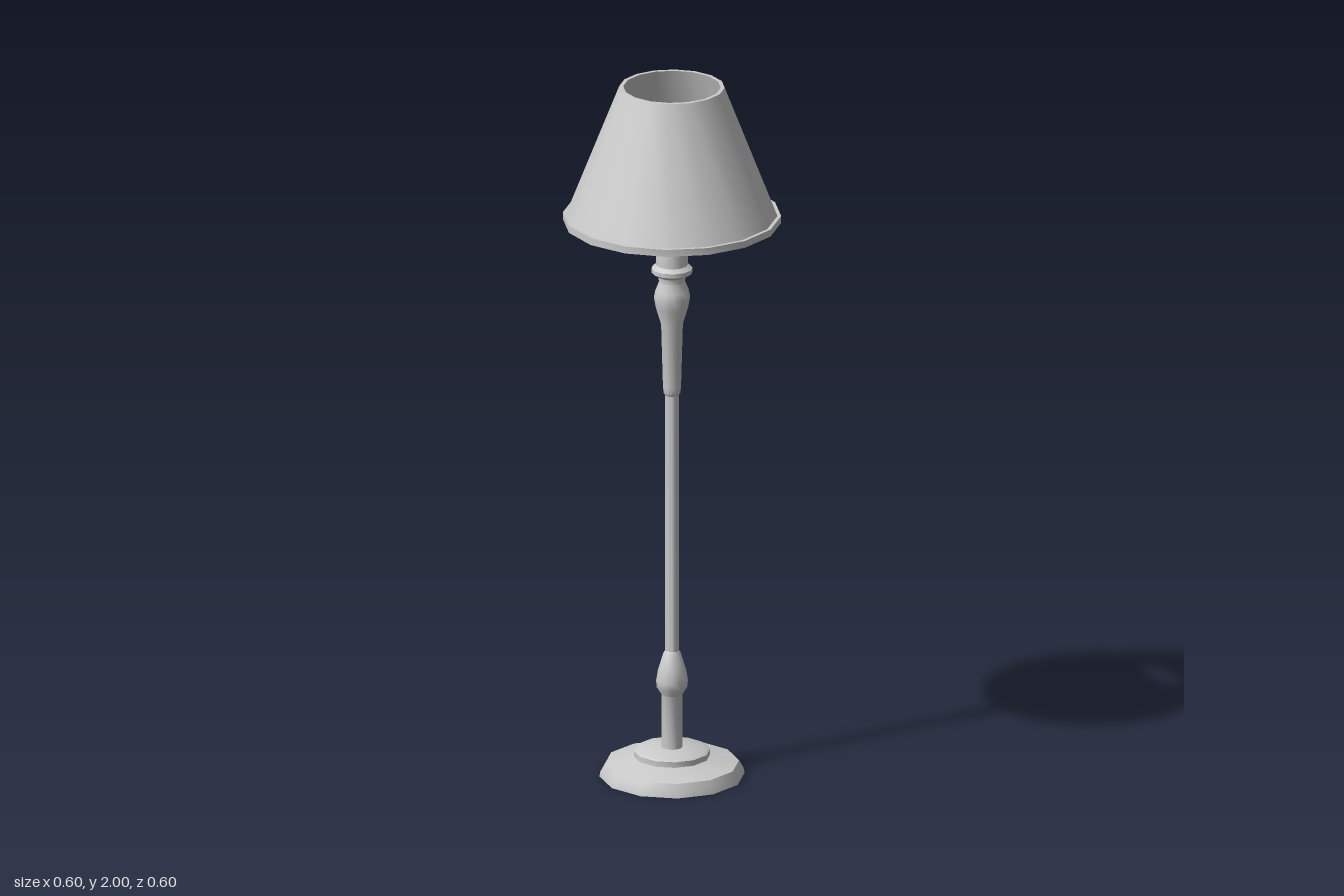
import * as THREE from 'three';
import { toCreasedNormals } from 'three/addons/utils/BufferGeometryUtils.js';

const material = new THREE.MeshStandardMaterial({ color: 0xcccccc, side: THREE.DoubleSide });

// Turned part from [radius, height] pairs, listed from bottom to top on the outside
function turned(name, profile, sides, crease = 0.7) {
  const points = profile.map(([r, y]) => new THREE.Vector2(r, y));
  const geometry = toCreasedNormals(new THREE.LatheGeometry(points, sides), crease);
  const mesh = new THREE.Mesh(geometry, material);
  mesh.name = name;
  return mesh;
}

export function createModel() {
  const lamp = new THREE.Group();
  lamp.name = 'floorLamp';

  // Hollow stepped foot, open underneath
  lamp.add(turned('base', [
    [0.2, 0], [0.197, 0.015], [0.185, 0.037], [0.105, 0.056],
    [0.105, 0.072], [0.098, 0.077], [0.029, 0.082],
  ], 12));

  // Lower turned column with its bulge
  lamp.add(turned('lowerColumn', [
    [0.029, 0.08], [0.029, 0.235], [0.042, 0.255], [0.044, 0.275],
    [0.039, 0.305], [0.024, 0.355], [0.019, 0.362],
  ], 12));

  // Slim pole
  lamp.add(turned('pole', [[0.019, 0.36], [0.019, 1.11]], 12));

  // Upper turned column: tapered sleeve, vase and flared collar
  lamp.add(turned('upperColumn', [
    [0.019, 1.105], [0.023, 1.11], [0.025, 1.13], [0.03, 1.31], [0.045, 1.36],
    [0.05, 1.39], [0.046, 1.41], [0.036, 1.435], [0.038, 1.45], [0.057, 1.462],
    [0.057, 1.474], [0.044, 1.484], [0.044, 1.505], [0.038, 1.545], [0, 1.546],
  ], 12));

  // Socket below the bulb
  lamp.add(turned('socket', [[0.02, 1.545], [0.02, 1.65], [0, 1.65]], 12));

  // Bulb: tapered neck running into a round top
  const bulb = [[0.02, 1.645], [0.024, 1.67], [0.036, 1.705]];
  for (let i = 0; i <= 8; i++) {
    const a = -0.4 + (i / 8) * (Math.PI / 2 + 0.4);
    bulb.push([i === 8 ? 0 : 0.047 * Math.cos(a), 1.74 + 0.047 * Math.sin(a)]);
  }
  lamp.add(turned('bulb', bulb, 16, 1));

  // Two straight arms carrying the shade
  for (const side of [-1, 1]) {
    const foot = new THREE.Vector3(side * 0.03, 1.54, 0);
    const tip = new THREE.Vector3(side * 0.155, 1.93, 0);
    const arm = new THREE.Mesh(
      new THREE.TubeGeometry(new THREE.LineCurve3(foot, tip), 1, 0.005, 6), material);
    arm.name = side > 0 ? 'leftShadeArm' : 'rightShadeArm';
    lamp.add(arm);
  }

  // Thick conical shade with a projecting lower rim
  lamp.add(turned('shade', [
    [0.262, 1.61], [0.3, 1.61], [0.3, 1.63], [0.29, 1.63], [0.145, 2],
    [0.134, 2], [0.262, 1.61],
  ], 16));

  return lamp;
}
